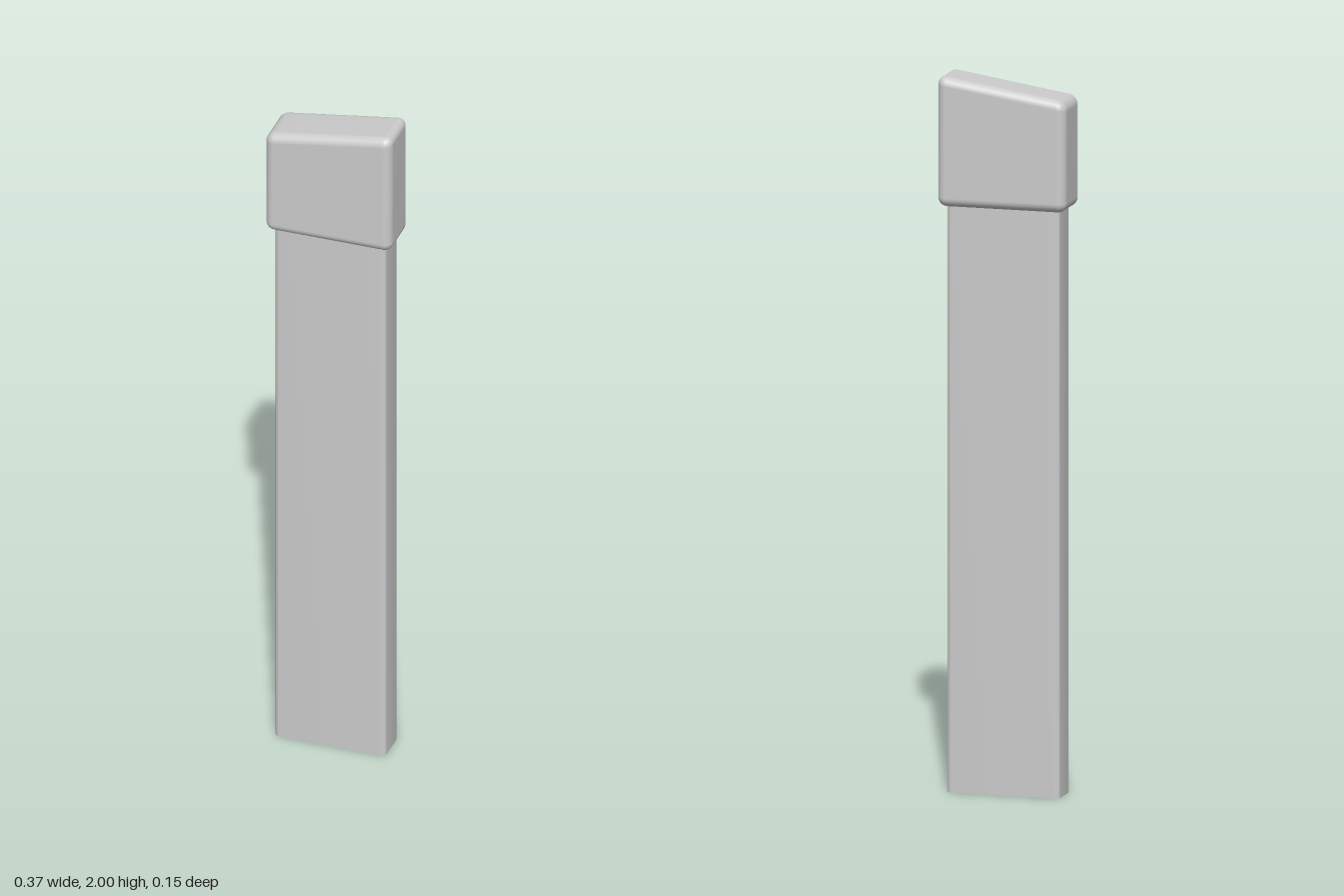
import * as THREE from 'three';
import { RoundedBoxGeometry } from 'three/addons/geometries/RoundedBoxGeometry.js';
import { mergeVertices, toCreasedNormals } from 'three/addons/utils/BufferGeometryUtils.js';

const material = new THREE.MeshStandardMaterial({ color: 0xcccccc });

function roundedRect(w, d, r) {
  const s = new THREE.Shape();
  const x = w / 2 - r, y = d / 2 - r;
  s.absarc(x, y, r, 0, Math.PI / 2);
  s.absarc(-x, y, r, Math.PI / 2, Math.PI);
  s.absarc(-x, -y, r, Math.PI, Math.PI * 1.5);
  s.absarc(x, -y, r, Math.PI * 1.5, Math.PI * 2);
  s.closePath();
  return s;
}

export function createModel() {
  const group = new THREE.Group();

  // Flat post with slightly eased vertical edges, running up into the cap
  const postGeometry = new THREE.ExtrudeGeometry(roundedRect(0.322, 0.1, 0.012), {
    depth: 1.66, bevelEnabled: false, curveSegments: 5,
  });
  postGeometry.rotateX(-Math.PI / 2);
  const post = new THREE.Mesh(toCreasedNormals(postGeometry, 0.6), material);
  post.name = 'post';
  group.add(post);

  // Rounded cap whose top slopes up towards +x
  const bottom = 1.637, top = 1.975, slope = 0.155;
  let capGeometry = new RoundedBoxGeometry(0.368, top - bottom, 0.147, 5, 0.026);
  const p = capGeometry.attributes.position;
  for (let i = 0; i < p.count; i++) {
    if (p.getY(i) > 0) p.setY(i, p.getY(i) + slope * p.getX(i));
  }
  capGeometry.deleteAttribute('normal');
  capGeometry.deleteAttribute('uv');
  capGeometry = mergeVertices(capGeometry, 1e-5);
  capGeometry.computeVertexNormals();
  const cap = new THREE.Mesh(capGeometry, material);
  cap.name = 'cap';
  cap.position.y = (top + bottom) / 2;
  group.add(cap);

  return group;
}
